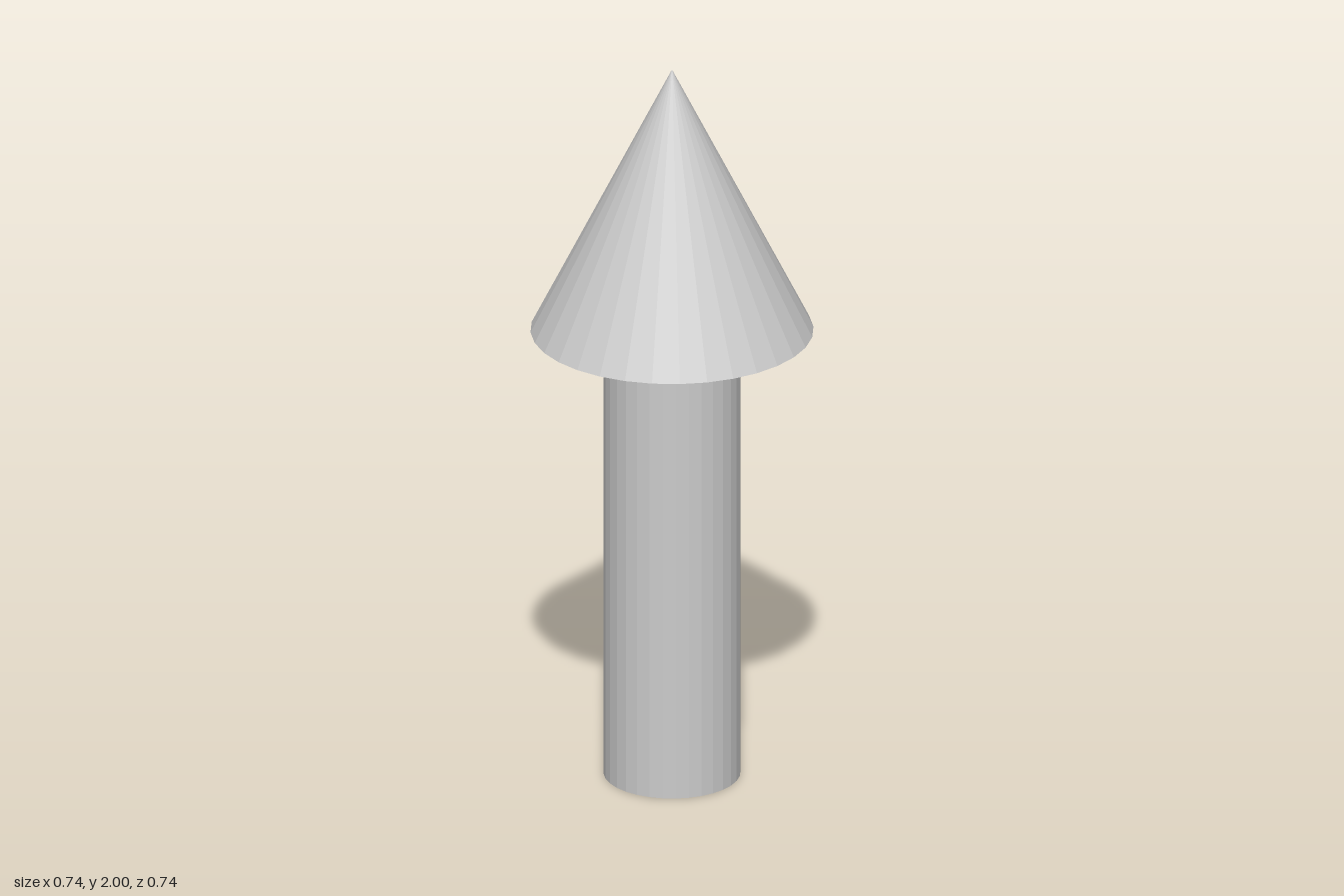
import * as THREE from 'three';

const SIDES = 32;
const HEIGHT = 2;
const SHAFT_HEIGHT = 1.26;
const SHAFT_RADIUS = 0.18;
const HEAD_RADIUS = 0.372;

export function createModel() {
  const model = new THREE.Group();
  model.name = 'arrow';
  const material = new THREE.MeshStandardMaterial({ color: 0xcccccc, flatShading: true });

  // Adds a part standing on height y
  const addPart = (name, geometry, y, height) => {
    const mesh = new THREE.Mesh(geometry, material);
    mesh.name = name;
    mesh.position.y = y + height / 2;
    model.add(mesh);
  };

  // Straight round shaft
  addPart('shaft', new THREE.CylinderGeometry(SHAFT_RADIUS, SHAFT_RADIUS, SHAFT_HEIGHT, SIDES), 0, SHAFT_HEIGHT);

  // Pointed head with a flat underside
  const headHeight = HEIGHT - SHAFT_HEIGHT;
  addPart('head', new THREE.ConeGeometry(HEAD_RADIUS, headHeight, SIDES), SHAFT_HEIGHT, headHeight);

  return model;
}
